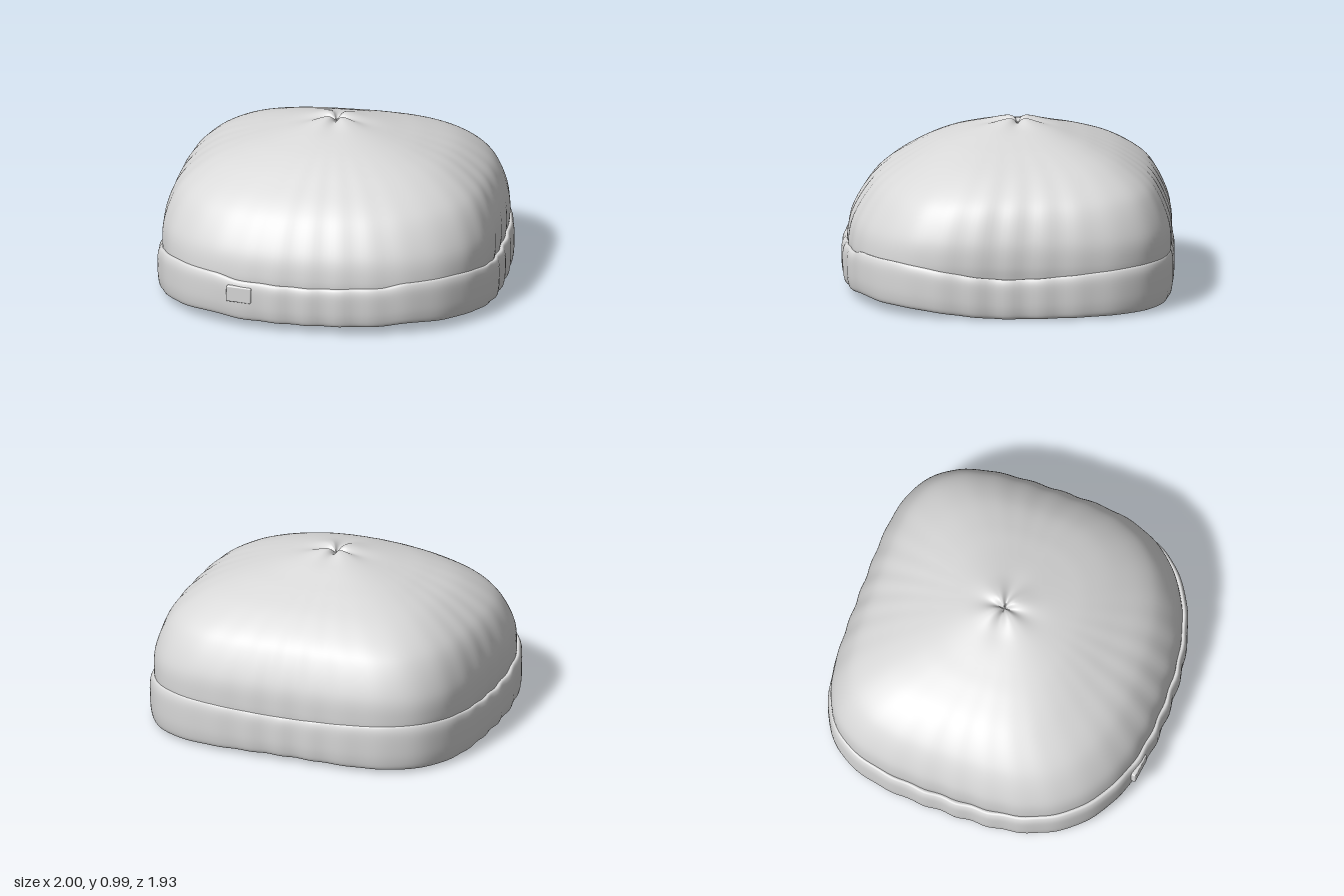
import * as THREE from 'three';
import { RoundedBoxGeometry } from 'three/addons/geometries/RoundedBoxGeometry.js';

const SEG = 192, RIBS = 32;

// radius of a rounded-square outline: rounder at the front, squarer at the back
function outline(a, hx, hz, round) {
  const s = Math.abs(Math.sin(a)), c = Math.abs(Math.cos(a));
  const n = THREE.MathUtils.lerp(3.25 - 0.75 * Math.cos(a), 2.2, round);
  return 1 / Math.pow(Math.pow(s / hx, n) + Math.pow(c / hz, n), 1 / n);
}

// knit ribs, fading out at the four corners
const rib = (a) => Math.cos(RIBS * a) * (0.15 + 0.85 * Math.cos(2 * a) ** 2);

// surface swept around the y axis: point(angle, row) gives [x, y, z]
function sweep(rows, closed, point) {
  const pos = [], index = [];
  for (let j = 0; j < rows; j++)
    for (let i = 0; i < SEG; i++) pos.push(...point((i / SEG) * Math.PI * 2, j));
  for (let j = 0; j < (closed ? rows : rows - 1); j++)
    for (let i = 0; i < SEG; i++) {
      const k = (i + 1) % SEG, up = ((j + 1) % rows) * SEG, lo = j * SEG;
      index.push(lo + i, lo + k, up + i, lo + k, up + k, up + i);
    }
  const g = new THREE.BufferGeometry();
  g.setAttribute('position', new THREE.Float32BufferAttribute(pos, 3));
  g.setIndex(index);
  g.computeVertexNormals();
  return g;
}

// cuff edges: [degrees from front, low, high]
const EDGE = [[0, 0.05, 0.28], [25, 0.055, 0.29], [34, 0.068, 0.316], [48, 0.058, 0.318],
  [90, 0.006, 0.24], [140, 0.022, 0.298], [180, 0.03, 0.28]];
function cuffEdge(a) {
  const d = THREE.MathUtils.radToDeg(Math.acos(Math.cos(a)));
  let i = 0;
  while (i < EDGE.length - 2 && d > EDGE[i + 1][0]) i++;
  const t = THREE.MathUtils.smoothstep(d, EDGE[i][0], EDGE[i + 1][0]);
  return [1, 2].map((k) => THREE.MathUtils.lerp(EDGE[i][k], EDGE[i + 1][k], t));
}

// crown levels: height, half width, front depth, back depth
const LEVELS = [
  [0.14, 0.945, 0.91, 0.92], [0.22, 0.957, 0.92, 0.935], [0.32, 0.97, 0.925, 0.945],
  [0.45, 0.96, 0.895, 0.935], [0.6, 0.905, 0.805, 0.875], [0.7, 0.825, 0.705, 0.8],
  [0.8, 0.685, 0.55, 0.655], [0.87, 0.515, 0.42, 0.5], [0.915, 0.365, 0.31, 0.375],
  [0.96, 0.2, 0.165, 0.25], [0.995, 0.065, 0.015, 0.125], [0.96, 0.0005, -0.0545, 0.0555],
];
const ROWS = 67;
const levelCurve = (k) => new THREE.CatmullRomCurve3(
  LEVELS.map((l) => new THREE.Vector3(l[1], l[0], l[k])), false, 'catmullrom');
const frontCurve = levelCurve(2), backCurve = levelCurve(3);

// half width, height, half depth, centre z and corner rounding at a row
function level(j) {
  const t = j / (ROWS - 1), f = frontCurve.getPoint(t), b = backCurve.getPoint(t);
  return {
    t, y: f.y, hx: Math.max(f.x, 0.0005), hz: Math.max((f.z + b.z) / 2, 0.0005),
    cz: (f.z - b.z) / 2, round: THREE.MathUtils.smoothstep(t, 0.45, 0.95),
  };
}

function crownGeometry() {
  return sweep(ROWS, false, (a, j) => {
    const { y, hx, hz, cz, round } = level(j);
    const r = outline(a, hx, hz, round)
      * (1 + 0.004 * rib(a) * THREE.MathUtils.smoothstep(hx, 0.2, 0.8));
    // four gathered pleats around the tip
    const gather = Math.exp(-((r / 0.16) ** 2)) * (r / (r + 0.015));
    const pleat = Math.pow(0.5 + 0.5 * Math.cos(4 * a), 1.5);
    return [Math.sin(a) * r, y - 0.036 * gather * pleat, cz + Math.cos(a) * r];
  });
}

// smooth inner layer, slightly smaller than the crown
function liningGeometry() {
  return sweep(ROWS, false, (a, j) => {
    const { t, y, hx, hz, cz, round } = level(j);
    const r = outline(a, hx, hz, round) * 0.952;
    return [Math.sin(a) * r, y - 0.04 * t * t, cz + Math.cos(a) * r];
  });
}

// cuff section: inset from the outer face, share of the cuff height
const SECTION = [
  [0.052, 0.07], [0.034, 0], [0.015, 0.05], [0.004, 0.25], [0, 0.5], [0, 0.78],
  [0.007, 0.93], [0.02, 1], [0.045, 0.97], [0.068, 0.9], [0.084, 0.6], [0.094, 0.3],
  [0.09, 0.1], [0.072, 0.02],
];

function cuffGeometry() {
  const rows = 56;
  const loop = new THREE.CatmullRomCurve3(
    SECTION.map(([x, y]) => new THREE.Vector3(x, y, 0)), true, 'catmullrom');
  return sweep(rows, true, (a, j) => {
    const p = loop.getPoint(j / rows), [low, high] = cuffEdge(a);
    const ribbed = 1 - THREE.MathUtils.smoothstep(p.x, 0.03, 0.07);
    const r = outline(a, 0.994, 0.957, 0) - p.x + 0.006 * rib(a) * ribbed;
    return [Math.sin(a) * r, low + (high - low) * p.y, Math.cos(a) * r];
  });
}

export function createModel() {
  const group = new THREE.Group();
  group.name = 'knitHat';
  const knit = new THREE.MeshStandardMaterial({ color: 0xd9d9d9, side: THREE.DoubleSide });
  knit.name = 'light grey knit';
  const add = (name, geometry) => {
    const mesh = new THREE.Mesh(geometry, knit);
    mesh.name = name;
    group.add(mesh);
    return mesh;
  };
  add('crown', crownGeometry());
  add('lining', liningGeometry());
  add('foldedCuff', cuffGeometry());

  // small blank patch on the cuff
  const patch = add('patch', new RoundedBoxGeometry(0.15, 0.095, 0.03, 3, 0.008));
  patch.position.set(-0.405, 0.215, 0.917);
  patch.rotation.set(0, -0.12, -0.03);
  return group;
}
